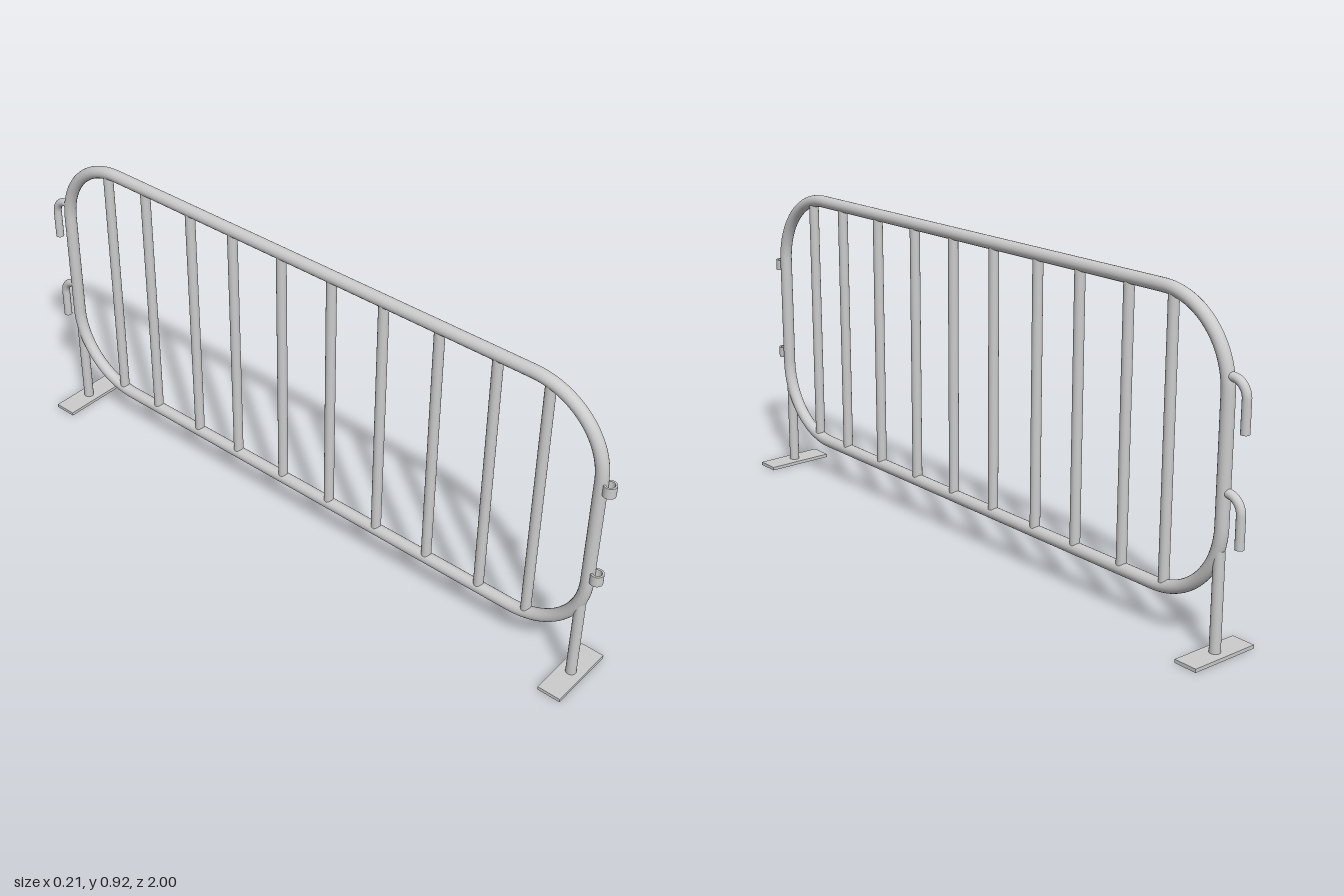
import * as THREE from 'three';

// Crowd-control barrier, drawn in the local XY plane and turned so its length runs along z.
export function createModel() {
  const root = new THREE.Group();
  root.name = 'barrier';
  const panel = new THREE.Group();
  panel.name = 'panel';
  panel.rotation.y = -Math.PI / 2; // local +x becomes +z
  root.add(panel);

  const mat = new THREE.MeshStandardMaterial({ color: 0xcccccc });

  const add = (name, geometry, x, y, parent = panel) => {
    const mesh = new THREE.Mesh(geometry, mat);
    mesh.name = name;
    mesh.position.set(x, y, 0);
    parent.add(mesh);
    return mesh;
  };
  const upright = (name, r, x, y0, y1, parent) =>
    add(name, new THREE.CylinderGeometry(r, r, y1 - y0, 20), x, (y0 + y1) / 2, parent);
  const level = (name, r, y, x0, x1, parent) => {
    const mesh = add(name, new THREE.CylinderGeometry(r, r, x1 - x0, 20), (x0 + x1) / 2, y, parent);
    mesh.rotation.z = Math.PI / 2;
    return mesh;
  };
  const bend = (name, R, r, x, y, start, parent) => {
    const mesh = add(name, new THREE.TorusGeometry(R, r, 20, 20, Math.PI / 2), x, y, parent);
    mesh.rotation.z = start;
    return mesh;
  };

  // Outer frame: four straight tubes joined by quarter bends
  const x0 = -0.93, x1 = 0.957, y0 = 0.123, y1 = 0.898, R = 0.22, tube = 0.018;
  const frame = new THREE.Group();
  frame.name = 'frame';
  panel.add(frame);
  level('topRail', tube, y1, x0 + R, x1 - R, frame);
  level('bottomRail', tube, y0, x0 + R, x1 - R, frame);
  upright('backEndTube', tube, x0, y0 + R, y1 - R, frame);
  upright('frontEndTube', tube, x1, y0 + R, y1 - R, frame);
  [[x1 - R, y1 - R], [x0 + R, y1 - R], [x0 + R, y0 + R], [x1 - R, y0 + R]].forEach(
    ([x, y], i) => bend('frameCorner', R, tube, x, y, i * Math.PI / 2, frame));

  // Vertical infill bars
  [0.788, 0.633, 0.454, 0.275, 0.1, -0.076, -0.255, -0.416, -0.593, -0.745].forEach(
    x => upright('bar', 0.0145, x, y0, y1 - 0.008));

  // Legs with flat foot plates
  for (const x of [0.947, -0.926]) {
    upright('leg', 0.015, x, 0.005, 0.28);
    add('footPlate', new THREE.BoxGeometry(0.07, 0.01, 0.21), x, 0.005);
  }

  // Coupling hooks on the back end
  const hookR = 0.012, hookBend = 0.045, hookX = -0.988;
  for (const y of [0.721, 0.432]) {
    const hook = new THREE.Group();
    hook.name = 'hook';
    panel.add(hook);
    level('hookArm', hookR, y, hookX + hookBend, x0, hook);
    bend('hookBend', hookBend, hookR, hookX + hookBend, y - hookBend, Math.PI / 2, hook);
    upright('hookPin', hookR, hookX, y - 0.131, y - hookBend, hook);
  }

  // Ring eyelets on the front end that receive the hooks
  const ring = new THREE.Shape().absarc(0, 0, 0.018, 0, Math.PI * 2, false);
  ring.holes.push(new THREE.Path().absarc(0, 0, 0.0125, 0, Math.PI * 2, true));
  const ringGeometry = new THREE.ExtrudeGeometry(ring, { depth: 0.032, bevelEnabled: false, curveSegments: 20 });
  ringGeometry.rotateX(-Math.PI / 2);
  for (const y of [0.645, 0.355]) add('eyelet', ringGeometry, 0.982, y);

  return root;
}
